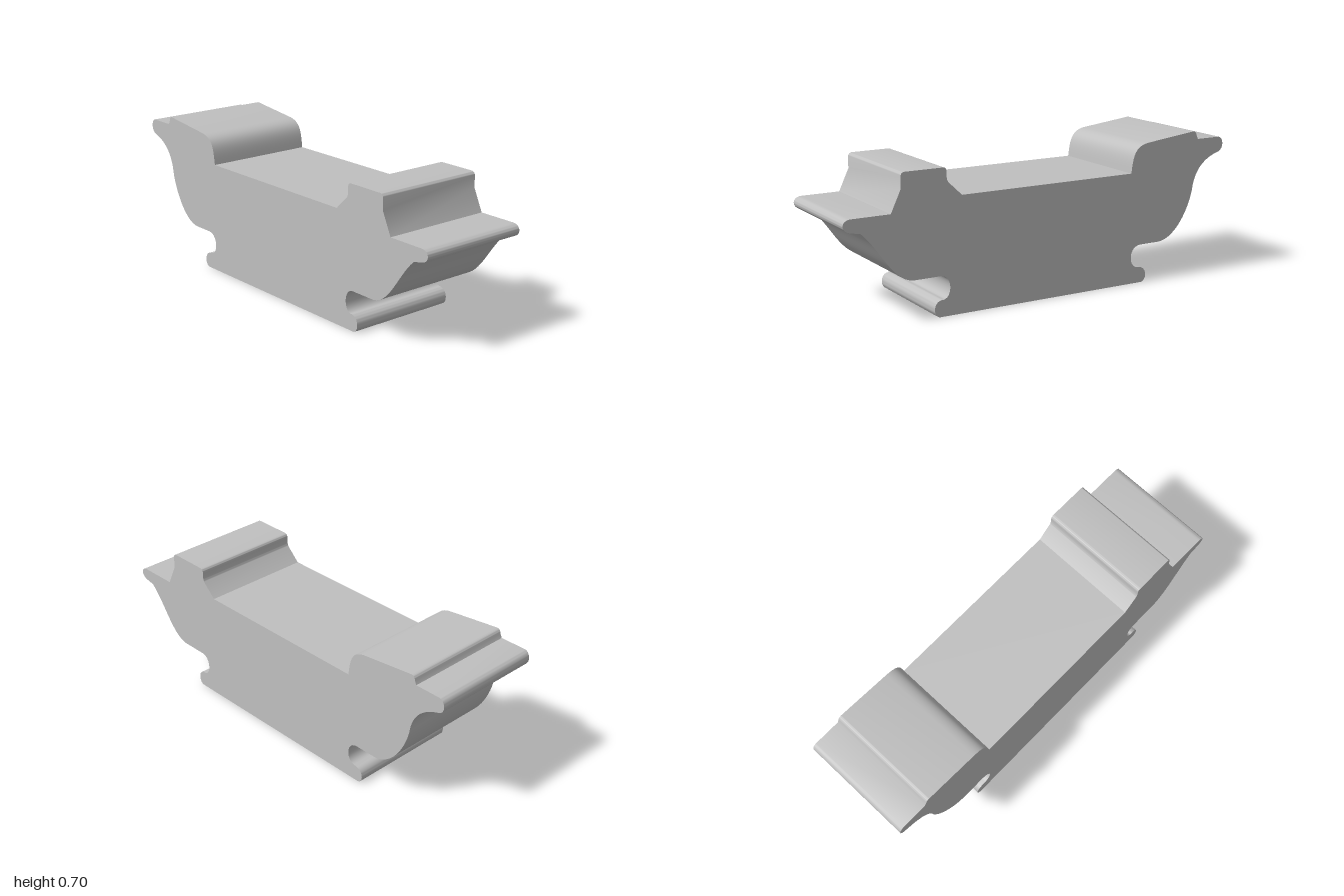
import * as THREE from 'three';
import { toCreasedNormals } from 'three/addons/utils/BufferGeometryUtils.js';

const DEPTH = 0.535;

// Ship-shaped side profile, drawn counter-clockwise from the lower left
function hullProfile() {
  const s = new THREE.Shape();
  // foot and right lip
  s.moveTo(-0.525, 0);
  s.lineTo(0.555, 0);
  s.bezierCurveTo(0.588, 0.005, 0.588, 0.07, 0.55, 0.075);
  // right notch
  s.bezierCurveTo(0.545, 0.08, 0.54, 0.077, 0.535, 0.077);
  s.bezierCurveTo(0.49, 0.085, 0.49, 0.18, 0.545, 0.185);
  // bow
  s.lineTo(0.68, 0.185);
  s.bezierCurveTo(0.78, 0.195, 0.83, 0.34, 0.92, 0.42);
  s.lineTo(0.97, 0.43);
  s.bezierCurveTo(1.01, 0.44, 1.01, 0.485, 0.965, 0.488);
  s.lineTo(0.78, 0.488);
  // fore castle
  s.lineTo(0.732, 0.59);
  s.lineTo(0.732, 0.643);
  s.quadraticCurveTo(0.73, 0.662, 0.712, 0.662);
  s.lineTo(0.532, 0.662);
  s.quadraticCurveTo(0.515, 0.662, 0.514, 0.645);
  s.quadraticCurveTo(0.516, 0.605, 0.505, 0.595);
  s.lineTo(0.44, 0.533);
  // deck and rear castle
  s.lineTo(-0.458, 0.533);
  s.bezierCurveTo(-0.468, 0.61, -0.475, 0.658, -0.55, 0.67);
  s.lineTo(-0.815, 0.701);
  s.quadraticCurveTo(-0.835, 0.703, -0.838, 0.68);
  s.lineTo(-0.846, 0.662);
  // stern rail and curved stern
  s.lineTo(-0.975, 0.662);
  s.bezierCurveTo(-1.005, 0.655, -1.01, 0.595, -0.965, 0.587);
  s.bezierCurveTo(-0.875, 0.56, -0.83, 0.5, -0.82, 0.42);
  s.bezierCurveTo(-0.8, 0.32, -0.72, 0.185, -0.62, 0.185);
  s.lineTo(-0.515, 0.185);
  // left notch and lip
  s.bezierCurveTo(-0.45, 0.18, -0.45, 0.085, -0.5, 0.077);
  s.lineTo(-0.52, 0.074);
  s.bezierCurveTo(-0.56, 0.065, -0.56, 0.005, -0.525, 0);
  return s;
}

export function createModel() {
  const grey = new THREE.MeshStandardMaterial({ color: 0xc0c0c0 });
  grey.name = 'light grey';

  const extruded = new THREE.ExtrudeGeometry(hullProfile(), {
    depth: DEPTH, bevelEnabled: false, curveSegments: 14,
  });
  extruded.translate(0, 0, -DEPTH / 2);
  const hull = new THREE.Mesh(toCreasedNormals(extruded, Math.PI / 6), grey);
  hull.name = 'hull';

  const model = new THREE.Group();
  model.name = 'shipBlock';
  model.add(hull);
  return model;
}
